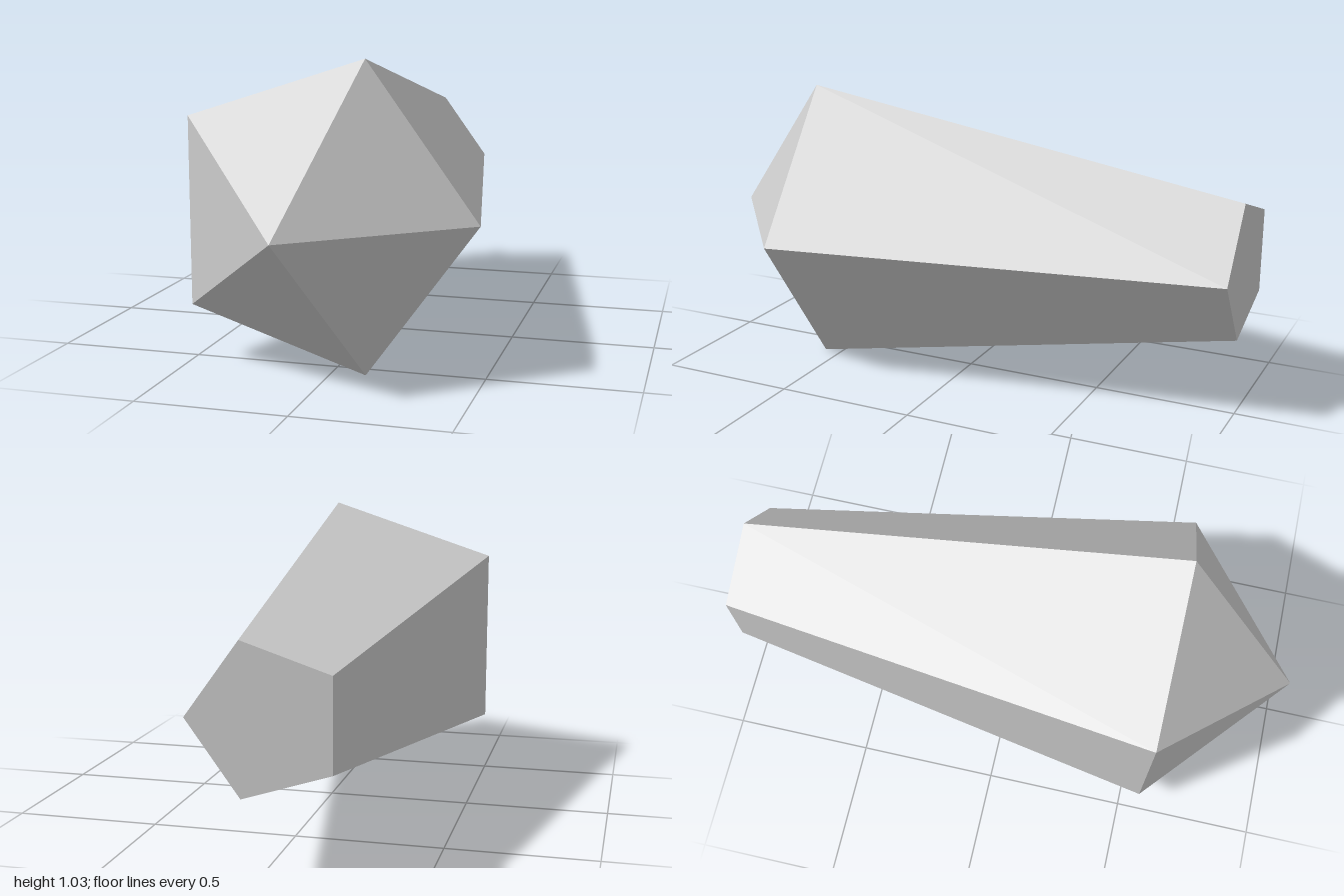
import * as THREE from 'three';

const SIDES = 5;
const FRONT_RADIUS = 0.541;
const BACK_RADIUS = 0.25;
const SHOULDER_Z = 0.565;

export function createModel() {
  const group = new THREE.Group();
  group.name = 'crystal';
  const material = new THREE.MeshStandardMaterial({ color: 0xcccccc, flatShading: true });

  const addPart = (name, geometry) => {
    const mesh = new THREE.Mesh(geometry, material);
    mesh.name = name;
    group.add(mesh);
  };

  // Five-sided ring section along z, with one corner pointing to +x
  const section = (frontRadius, backRadius, z0, z1) =>
    new THREE.CylinderGeometry(frontRadius, backRadius, z1 - z0, SIDES, 1, true, Math.PI / 2)
      .rotateX(Math.PI / 2)
      .translate(0, 0, (z0 + z1) / 2);

  // Pointed front
  addPart('tip', section(0, FRONT_RADIUS, SHOULDER_Z, 1));

  // Long body narrowing towards the back
  addPart('body', section(FRONT_RADIUS, BACK_RADIUS, -1, SHOULDER_Z));

  // Flat pentagon closing the back
  addPart('backFace', new THREE.CircleGeometry(BACK_RADIUS, SIDES, Math.PI)
    .rotateY(Math.PI)
    .translate(0, 0, -1));

  // Stand on the ground, centred on the pentagon's bounds
  group.position.set(-0.052, FRONT_RADIUS * Math.sin((2 * Math.PI) / SIDES), 0);
  return group;
}
